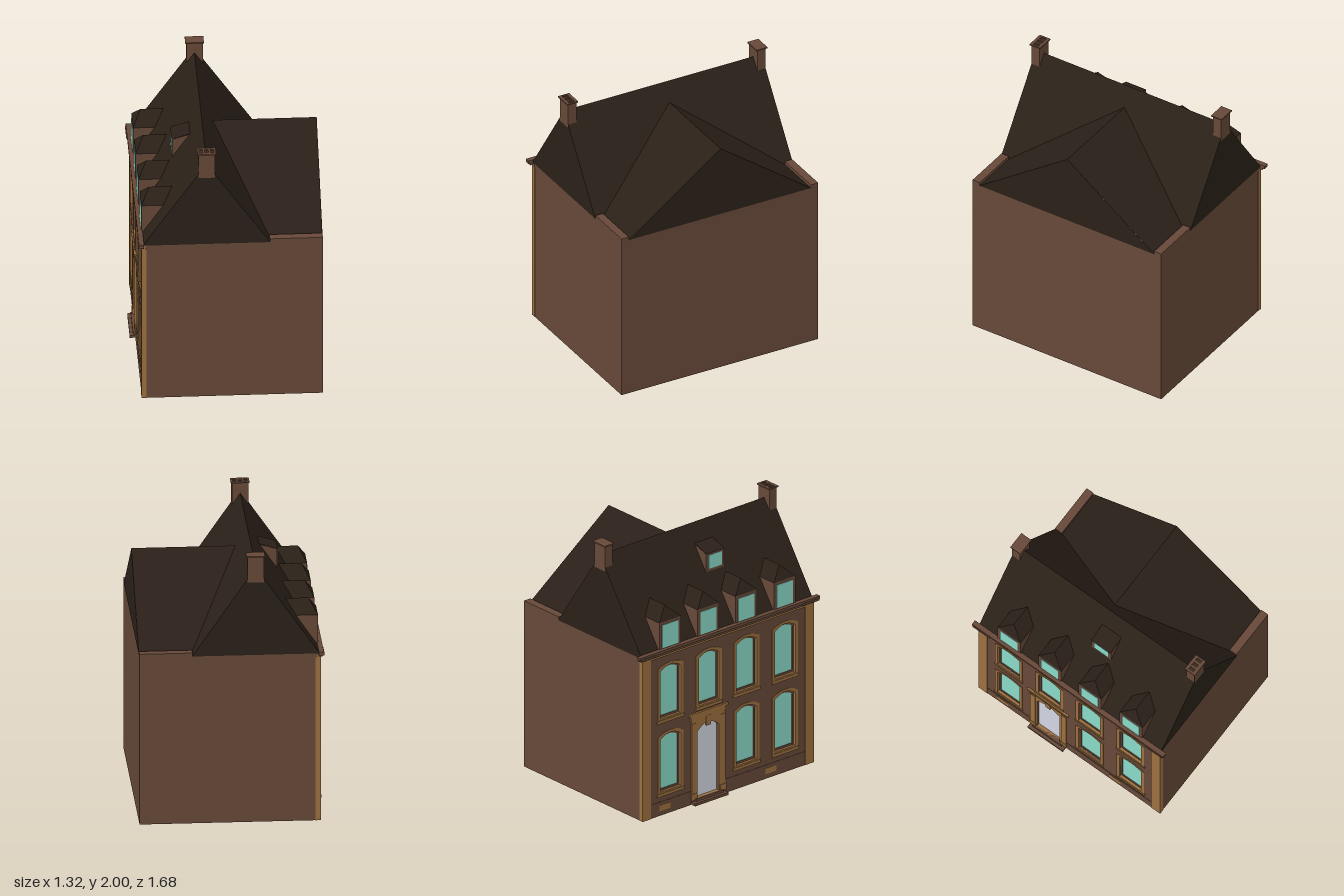
import * as THREE from 'three';

const mat = (color) => new THREE.MeshStandardMaterial({ color, side: THREE.DoubleSide, flatShading: true });

export function createModel() {
  const model = new THREE.Group();
  const brick = mat(0x664838), slate = mat(0x2a2018), stone = mat(0x9c7040);
  const glass = mat(0x8adac8), doorPaint = mat(0xd2d5e2), dark = mat(0x3a2a20);

  const add = (parent, name, geometry, material) => {
    const mesh = new THREE.Mesh(geometry, material);
    mesh.name = name;
    parent.add(mesh);
    return mesh;
  };
  // box given by its minimum and maximum corners
  const box = (parent, name, material, [x0, y0, z0], [x1, y1, z1]) =>
    add(parent, name, new THREE.BoxGeometry(x1 - x0, y1 - y0, z1 - z0), material)
      .position.set((x0 + x1) / 2, (y0 + y1) / 2, (z0 + z1) / 2);
  // flat convex polygons, each a ring of corners
  const polys = (parent, name, material, ...rings) => {
    const pos = [];
    for (const r of rings)
      for (let i = 1; i < r.length - 1; i++) pos.push(...r[0], ...r[i], ...r[i + 1]);
    const g = new THREE.BufferGeometry();
    g.setAttribute('position', new THREE.Float32BufferAttribute(pos, 3));
    g.computeVertexNormals();
    return add(parent, name, g, material);
  };
  // opening with a shallow arched head
  const arch = (Type, cx, y0, w, h, rise) => {
    const s = new Type(), l = cx - w / 2, r = cx + w / 2, t = y0 + h - rise;
    s.moveTo(l, y0);
    s.lineTo(r, y0);
    s.lineTo(r, t);
    s.quadraticCurveTo(cx, t + 2 * rise, l, t);
    s.closePath();
    return s;
  };
  const extrude = (parent, name, shape, material, z0, z1) => {
    const g = new THREE.ExtrudeGeometry(shape, { depth: z1 - z0, bevelEnabled: false, curveSegments: 6 });
    return add(parent, name, g.translate(0, 0, z0), material);
  };

  // side and rear walls, open underneath
  const X0 = -0.617, X1 = 0.66, Z = 0.797, E = 1.255;
  polys(model, 'walls', brick,
    [[X0, 0, Z], [X1, 0, Z], [X1, E, Z], [X0, E, Z]],
    [[X1, 0, Z], [X1, 0, -Z], [X1, E, -Z], [X1, E, Z]],
    [[X1, 0, -Z], [X0, 0, -Z], [X0, E, -Z], [X1, E, -Z]]);
  for (const s of [-1, 1]) {
    const a = s * 0.737, b = s * Z;
    box(model, 'sideGutter', brick, [0.285, 1.25, Math.min(a, b)], [X1, 1.28, Math.max(a, b)]);
  }

  // main roof with upright gable ends
  const RX = -0.163, RY = 1.912, B = 0.288, zg = 0.8;
  polys(model, 'mainRoof', slate,
    [[X0, E, -zg], [X0, E, zg], [RX, RY, zg], [RX, RY, -zg]],
    [[RX, RY, -zg], [RX, RY, zg], [B, E, zg], [B, E, -zg]]);
  polys(model, 'mainGables', slate,
    [[X0, E, zg], [B, E, zg], [RX, RY, zg]],
    [[B, E, -zg], [X0, E, -zg], [RX, RY, -zg]]);
  // rear wing roof running into the main roof
  const apex = [X1 + 0.001, 1.79, -0.005], inner = [-0.075, 1.79, -0.005], G = 0.737;
  polys(model, 'wingRoof', slate,
    [inner, [B, E, G], [X1, E, G], apex],
    [inner, apex, [X1, E, -G], [B, E, -G]]);
  polys(model, 'wingGable', slate, [[X1 + 0.001, E, G], [X1 + 0.001, E, -G], apex]);

  // chimneys; one has open flues
  for (const s of [-1, 1]) {
    const c = new THREE.Group();
    c.name = 'chimney';
    c.position.set(-0.162, 0, s * 0.767);
    box(c, 'chimneyStack', brick, [-0.058, 1.8, -0.034], [0.058, 1.99, 0.034]);
    const cap = new THREE.Shape([[-0.066, -0.044], [0.066, -0.044], [0.066, 0.044], [-0.066, 0.044]]
      .map((p) => new THREE.Vector2(...p)));
    if (s > 0) {
      for (const x of [-0.04, 0, 0.04]) {
        cap.holes.push(arch(THREE.Path, x, -0.022, 0.026, 0.044, 0));
        box(c, 'flue', dark, [x - 0.013, 1.985, -0.022], [x + 0.013, 1.992, 0.022]);
      }
    }
    extrude(c, 'chimneyCap', cap, brick, 0, 0.01).rotation.x = -Math.PI / 2;
    c.children[c.children.length - 1].position.y = 1.99;
    model.add(c);
  }

  // hipped dormers above each bay
  const bays = [-0.535, -0.178, 0.175, 0.535];
  for (const z of bays) {
    const d = new THREE.Group();
    d.name = 'dormer';
    d.position.z = z;
    const w = 0.1, f = -0.615, e = 1.485, t = 1.58, k = -0.46;
    const ridge = [-0.555, t, 0], back = [-0.393, t, 0];
    polys(d, 'dormerWalls', brick,
      [[f, E, -w], [f, E, w], [f, e, w], [f, e, -w]],
      [[f, E, w], [k, e, w], [f, e, w]],
      [[f, E, -w], [f, e, -w], [k, e, -w]]);
    polys(d, 'dormerRoof', slate,
      [[f, e, -w], [f, e, w], ridge],
      [[f, e, w], [k, e, w], back, ridge],
      [[f, e, -w], ridge, back, [k, e, -w]]);
    box(d, 'dormerGlass', glass, [f - 0.003, 1.285, -0.075], [f, 1.462, 0.075]);
    model.add(d);
  }

  // small roof light with a sloping top
  const [a, b, m, n] = [0.01, 0.18, -0.372, -0.245];
  polys(model, 'roofLightCheeks', brick,
    [[m, 1.6, a], [m, 1.6, b], [m, 1.752, b], [m, 1.752, a]],
    [[m, 1.6, b], [n, 1.79, b], [m, 1.752, b]],
    [[m, 1.6, a], [m, 1.752, a], [n, 1.79, a]]);
  polys(model, 'roofLightTop', slate, [[m - 0.005, 1.752, a], [m - 0.005, 1.752, b], [n, 1.793, b], [n, 1.793, a]]);
  box(model, 'roofLightGlass', glass, [m - 0.003, 1.63, a + 0.025], [m, 1.735, b - 0.025]);

  // street front, drawn facing +z and turned to face -x
  const front = new THREE.Group();
  front.name = 'streetFront';
  front.rotation.y = -Math.PI / 2;
  model.add(front);
  const F = 0.617, doorZ = -0.185;
  const wall = new THREE.Shape([[-Z, 0], [Z, 0], [Z, E], [-Z, E]].map((p) => new THREE.Vector2(...p)));

  const addWindow = (cx, y0, h) => {
    const w = 0.19;
    wall.holes.push(arch(THREE.Path, cx, y0, w, h, 0.035));
    const surround = arch(THREE.Shape, cx, y0 - 0.02, w + 0.05, h + 0.04, 0.035);
    surround.holes.push(arch(THREE.Path, cx, y0, w, h, 0.035));
    extrude(front, 'windowSurround', surround, stone, F - 0.03, F + 0.004);
    const sash = arch(THREE.Shape, cx, y0, w, h, 0.035);
    sash.holes.push(arch(THREE.Path, cx, y0 + 0.015, w - 0.026, h - 0.03, 0.03));
    extrude(front, 'windowFrame', sash, brick, F - 0.03, F - 0.015);
    extrude(front, 'windowGlass', arch(THREE.Shape, cx, y0, w, h, 0.035), glass, F - 0.026, F - 0.022);
    box(front, 'windowSill', stone, [cx - 0.125, y0 - 0.035, F - 0.01], [cx + 0.125, y0 - 0.012, F + 0.008]);
  };
  bays.forEach((z, i) => {
    if (i !== 1) addWindow(z, 0.18, 0.44);
    addWindow(z, 0.745, 0.4);
  });

  // doorway with arched door, pilasters, hood and steps
  wall.holes.push(arch(THREE.Path, doorZ, 0.04, 0.2, 0.56, 0.05));
  const doorCase = arch(THREE.Shape, doorZ, 0.04, 0.3, 0.6, 0);
  doorCase.holes.push(arch(THREE.Path, doorZ, 0.04, 0.2, 0.56, 0.05));
  extrude(front, 'doorCase', doorCase, stone, F - 0.03, F + 0.004);
  extrude(front, 'door', arch(THREE.Shape, doorZ, 0.04, 0.2, 0.56, 0.05), doorPaint, F - 0.028, F - 0.02);
  for (const s of [-1, 1]) {
    const c = doorZ + s * 0.135;
    box(front, 'doorPilaster', stone, [c - 0.022, 0.04, F], [c + 0.022, 0.62, F + 0.008]);
    box(front, 'doorPilasterBase', stone, [c - 0.027, 0.03, F], [c + 0.027, 0.08, F + 0.012]);
  }
  box(front, 'doorKeystone', stone, [doorZ - 0.02, 0.575, F], [doorZ + 0.02, 0.65, F + 0.01]);
  box(front, 'doorHoodLower', stone, [doorZ - 0.165, 0.64, F - 0.01], [doorZ + 0.165, 0.68, F + 0.008]);
  box(front, 'doorHood', stone, [doorZ - 0.18, 0.68, F - 0.01], [doorZ + 0.18, 0.7, F + 0.015]);
  box(front, 'lowerStep', brick, [doorZ - 0.155, 0, F - 0.01], [doorZ + 0.155, 0.02, 0.66]);
  box(front, 'upperStep', brick, [doorZ - 0.13, 0.02, F - 0.01], [doorZ + 0.13, 0.04, 0.637]);

  // plinth either side of the door, with cellar vents
  for (const [l, r] of [[-0.72, doorZ - 0.16], [doorZ + 0.16, 0.72]])
    box(front, 'plinth', brick, [l, 0, F - 0.01], [r, 0.105, F + 0.003]);
  for (const z of [-0.59, 0.4])
    box(front, 'cellarVent', stone, [z - 0.05, 0.035, F - 0.03], [z + 0.05, 0.08, F + 0.005]);

  extrude(front, 'streetWall', wall, brick, F - 0.025, F);

  // corner pilasters and eaves cornice
  for (const s of [-1, 1]) {
    const c = s * 0.76;
    box(front, 'cornerPilaster', stone, [c - 0.039, 0, F - 0.03], [c + 0.039, 1.225, F + 0.006]);
    box(front, 'pilasterCapital', brick, [s * 0.757 - 0.075, 1.25, 0.61], [s * 0.757 + 0.075, 1.265, 0.648]);
  }
  box(front, 'frieze', stone, [-0.8, 1.222, F - 0.02], [0.8, 1.252, 0.625]);
  box(front, 'corniceLower', brick, [-0.82, 1.24, 0.607], [0.82, 1.258, 0.634]);
  box(front, 'cornice', brick, [-0.84, 1.258, 0.607], [0.84, 1.28, 0.643]);

  return model;
}
